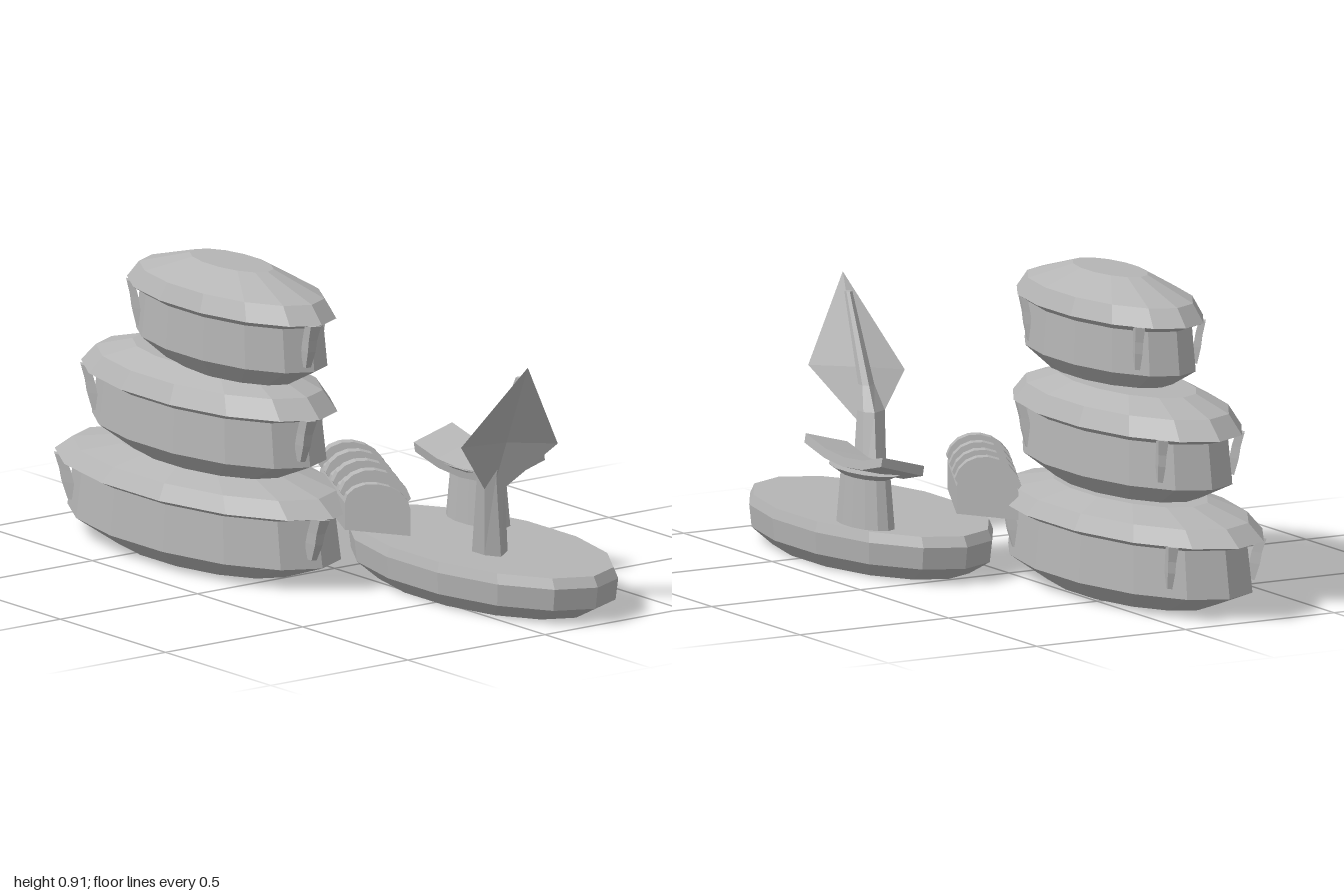
import * as THREE from 'three';

const SIDES = 14;
const grey = new THREE.MeshStandardMaterial({ color: 0xb4b4b4, side: THREE.DoubleSide });
grey.name = 'grey';

function part(name, geometry) {
  const g = geometry.index ? geometry.toNonIndexed() : geometry;
  g.computeVertexNormals(); // faceted
  const mesh = new THREE.Mesh(g, grey);
  mesh.name = name;
  return mesh;
}

// Faceted oval turned from a profile of [radius fraction, y]
function oval(name, x, z, rx, rz, profile) {
  const g = new THREE.LatheGeometry(profile.map(([r, y]) => new THREE.Vector2(r, y)), SIDES, Math.PI / 2);
  g.scale(rx, 1, rz / Math.cos(Math.PI / SIDES));
  g.translate(x, 0, z);
  return part(name, g);
}

// Skin over closed cross-sections, with both ends capped
function loft(name, rings) {
  const pos = [];
  const tri = (...pts) => pts.forEach((p) => pos.push(...p));
  const n = rings[0].length;
  for (let i = 0; i + 1 < rings.length; i++) {
    for (let j = 0; j < n; j++) {
      const k = (j + 1) % n, a = rings[i], b = rings[i + 1];
      tri(a[j], a[k], b[k]);
      tri(a[j], b[k], b[j]);
    }
  }
  const first = rings[0], last = rings[rings.length - 1];
  for (let j = 1; j + 1 < n; j++) {
    tri(first[0], first[j + 1], first[j]);
    tri(last[0], last[j], last[j + 1]);
  }
  const g = new THREE.BufferGeometry();
  g.setAttribute('position', new THREE.Float32BufferAttribute(pos, 3));
  return part(name, g);
}

// Tapered claw between the eave and the wall
function bracket(t, degrees) {
  const a = THREE.MathUtils.degToRad(degrees), c = Math.cos(a), s = Math.sin(a);
  const len = Math.hypot(t.rx * s, t.rz * c);
  const tx = -t.rx * s / len, tz = t.rz * c / len;
  const steps = [[0.87, 0.92, -0.13, 0.008], [0.88, 0.96, -0.08, 0.012], [0.9, 0.975, -0.045, 0.013], [0.94, 1.01, 0, 0.016]];
  return loft('eaveBracket', steps.map(([r0, r1, dy, w]) =>
    [[r0, 1], [r1, 1], [r1, -1], [r0, -1]].map(([r, k]) =>
      [t.x + t.rx * r * c + k * w * tx, t.rim + dy, t.z + t.rz * r * s + k * w * tz])));
}

function tower() {
  const group = new THREE.Group();
  group.name = 'tower';
  const tiers = [
    { x: -0.385, z: 0.18, rx: 0.615, rz: 0.27, y: 0, rim: 0.22, shoulder: 0.265, top: 0.3, topR: 0.58 },
    { x: -0.335, z: 0.2, rx: 0.525, rz: 0.235, y: 0.298, rim: 0.51, shoulder: 0.565, top: 0.605, topR: 0.6 },
    { x: -0.2, z: 0.222, rx: 0.43, rz: 0.19, y: 0.595, rim: 0.803, shoulder: 0.855, top: 0.912, topR: 0.4 },
  ];
  for (const t of tiers) {
    group.add(oval('towerTier', t.x, t.z, t.rx, t.rz, [
      [0.62, t.y], [0.915, t.y + 0.062], [0.875, t.rim - 0.018], [1, t.rim],
      [0.885, t.shoulder], [t.topR, t.top], [0, t.top],
    ]));
    for (const a of [7, -55, 145, 215]) group.add(bracket(t, a));
  }
  return group;
}

// Skewed arched passage with ribs over its roof
function passage() {
  const group = new THREE.Group();
  group.name = 'passage';
  const at = (t, s, y) => [0.3125 - 0.347 * t + 0.0875 * s, y, 0.083 - 0.175 * t - 0.0525 * s];
  const arch = [];
  for (let i = 0; i <= 8; i++) {
    const a = Math.PI * (1 - i / 8);
    arch.push([Math.cos(a), 0.26 + 0.065 * Math.sin(a)]);
  }
  const section = [[-1, 0.18], ...arch, [1, 0.18]];
  group.add(loft('passageBody', [0, 1].map((t) => section.map(([s, y]) => at(t, s, y)))));
  for (const t of [0.12, 0.42, 0.72, 1]) {
    const rings = [];
    for (let i = 0; i <= 8; i++) {
      const a = Math.PI * (0.93 - 0.86 * i / 8), c = Math.cos(a), s = Math.sin(a);
      const inner = [c, 0.26 + 0.06 * s], outer = [1.1 * c, 0.265 + 0.095 * s];
      rings.push([at(t - 0.045, ...inner), at(t - 0.045, ...outer), at(t + 0.045, ...outer), at(t + 0.045, ...inner)]);
    }
    group.add(loft('passageRib', rings));
  }
  return group;
}

// Leaning mast carrying a folded diamond sail
function sailMast() {
  const group = new THREE.Group();
  group.name = 'sailMast';
  const steps = [[0.555, 0.14, -0.14, 0.075, 0.042], [0.605, 0.39, -0.105, 0.045, 0.036], [0.64, 0.46, -0.1, 0.03, 0.02], [0.775, 0.71, -0.08, 0.015, 0.01]];
  group.add(loft('mast', steps.map(([x, y, z, w, d]) =>
    [[1, 0.4], [0.4, -1], [-0.4, -1], [-1, -0.4], [-0.4, 1], [0.4, 1]].map(([i, k]) => [x + i * w, y, z + k * d]))));
  const corners = [[0.84, 0.755, -0.06], [0.64, 0.49, 0.03], [0.61, 0.31, -0.1], [0.8, 0.5, -0.2]];
  const centre = [0.7, 0.5, -0.09];
  const pos = corners.flatMap((c, i) => [...centre, ...c, ...corners[(i + 1) % 4]]);
  const g = new THREE.BufferGeometry();
  g.setAttribute('position', new THREE.Float32BufferAttribute(pos, 3));
  group.add(part('sail', g));
  return group;
}

// Pedestal with a tilted canopy whose wings turn up
function canopy() {
  const group = new THREE.Group();
  group.name = 'canopyStand';
  group.add(oval('pedestal', 0.235, -0.343, 0.13, 0.062, [[1, 0.14], [0.86, 0.285], [1.25, 0.305], [0, 0.305]]));
  const stations = [[0.02, 0.035], [0.13, 0.008], [0.235, 0], [0.34, 0.008], [0.455, 0.035]];
  group.add(loft('canopy', stations.map(([x, lift]) => [
    [x, 0.275 + lift, -0.278], [x, 0.315 + lift, -0.418], [x, 0.342 + lift, -0.413], [x, 0.304 + lift, -0.273],
  ])));
  return group;
}

export function createModel() {
  const model = new THREE.Group();
  model.name = 'landingStation';
  model.add(
    tower(),
    oval('platform', 0.452, -0.195, 0.545, 0.26, [[0.81, 0], [0.98, 0.045], [1, 0.11], [0.965, 0.14], [0, 0.14]]),
    passage(),
    sailMast(),
    canopy(),
  );
  return model;
}
